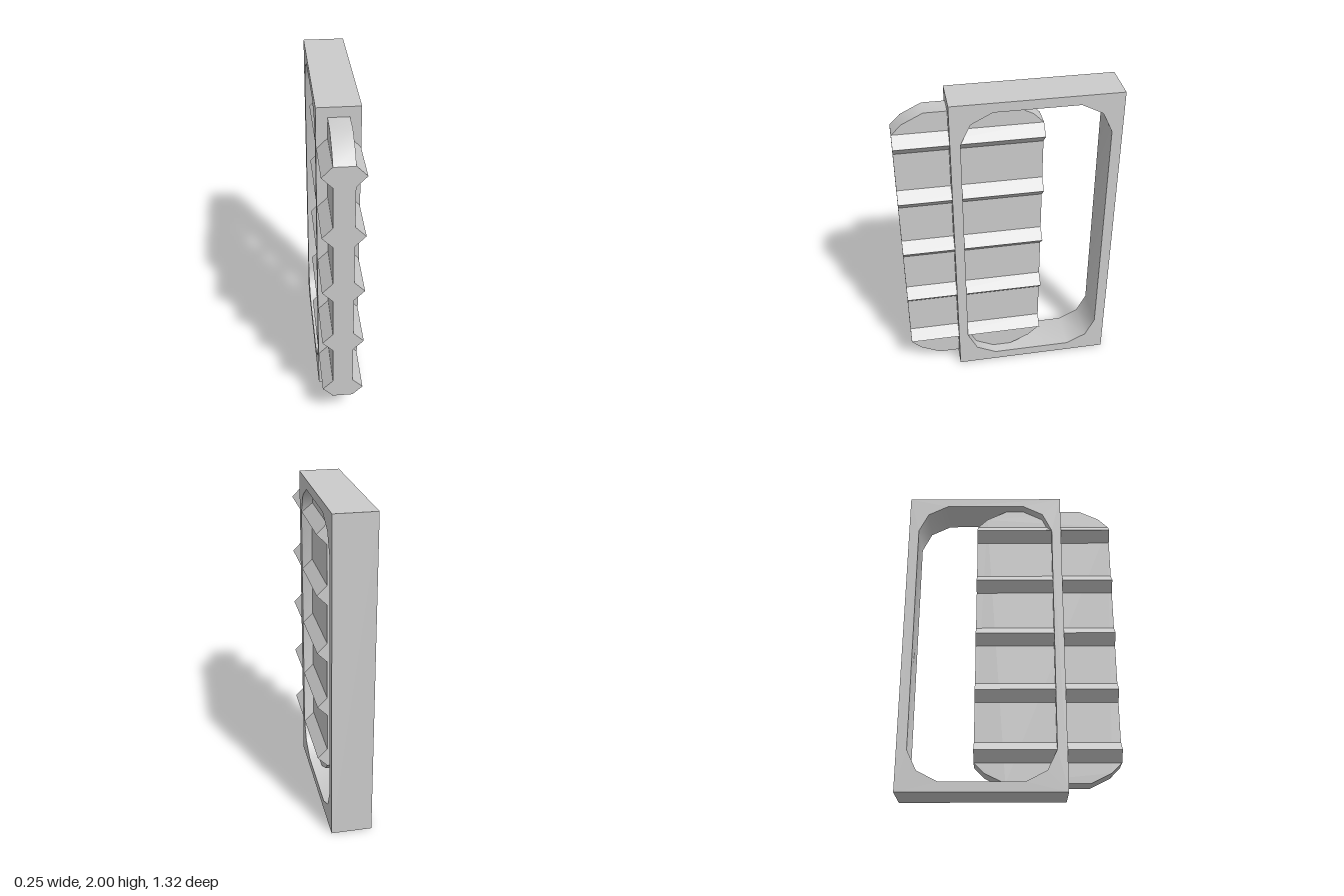
import * as THREE from 'three';
import { toCreasedNormals } from 'three/addons/utils/BufferGeometryUtils.js';

const grey = new THREE.MeshStandardMaterial({ color: 0xcccccc });
const points = (list) => list.map(([a, b]) => new THREE.Vector2(a, b));

// Rectangle in (z, y) whose four corners are cut by the same facets.
// Each facet point is an inset [dz, dy] from the corner.
function facetedRect(z0, z1, y0, y1, facets) {
  const back = [...facets].reverse();
  return points([
    ...facets.map(([dz, dy]) => [z0 + dz, y0 + dy]),
    ...back.map(([dz, dy]) => [z1 - dz, y0 + dy]),
    ...facets.map(([dz, dy]) => [z1 - dz, y1 - dy]),
    ...back.map(([dz, dy]) => [z0 + dz, y1 - dy]),
  ]);
}

// Extrudes a (z, y) outline sideways, centred on x = 0
function sidePlate(name, shape, width) {
  const geometry = new THREE.ExtrudeGeometry(shape, { depth: width, bevelEnabled: false });
  geometry.translate(0, 0, -width / 2).rotateY(-Math.PI / 2);
  const mesh = new THREE.Mesh(toCreasedNormals(geometry, 0.7), grey);
  mesh.name = name;
  return mesh;
}

export function createModel() {
  const model = new THREE.Group();
  model.name = 'ribbedPlateInFrame';

  // Rectangular frame with a corner-cut opening
  const frame = new THREE.Shape(facetedRect(-0.66, 0.34, 0, 2, [[0, 0]]));
  frame.holes.push(new THREE.Path(
    facetedRect(-0.597, 0.28, 0.062, 1.942, [[0, 0.19], [0.06, 0.065], [0.187, 0]])));
  model.add(sidePlate('frame', frame, 0.25));

  // Upright plate passing through the front bar of the frame
  const backZ = -0.21, frontZ = 0.66;
  const plate = new THREE.Shape(
    facetedRect(backZ, frontZ, 0.066, 1.94, [[0, 0.124], [0.062, 0.062], [0.187, 0]]));
  model.add(sidePlate('plate', plate, 0.122));

  // Five triangular ribs on each side of the plate
  const ribShape = new THREE.Shape(points([[0.061, -0.0625], [0.123, 0], [0.061, 0.0625]]));
  const rib = new THREE.ExtrudeGeometry(ribShape, { depth: frontZ - backZ, bevelEnabled: false });
  rib.translate(0, 0, -(frontZ - backZ) / 2);
  for (let i = 0; i < 5; i++) {
    for (const side of [1, -1]) {
      const mesh = new THREE.Mesh(rib, grey);
      mesh.name = side > 0 ? 'leftRib' : 'rightRib';
      mesh.position.set(0, 0.252 + i * 0.3757, (frontZ + backZ) / 2);
      mesh.rotation.y = side > 0 ? 0 : Math.PI;
      model.add(mesh);
    }
  }
  return model;
}
